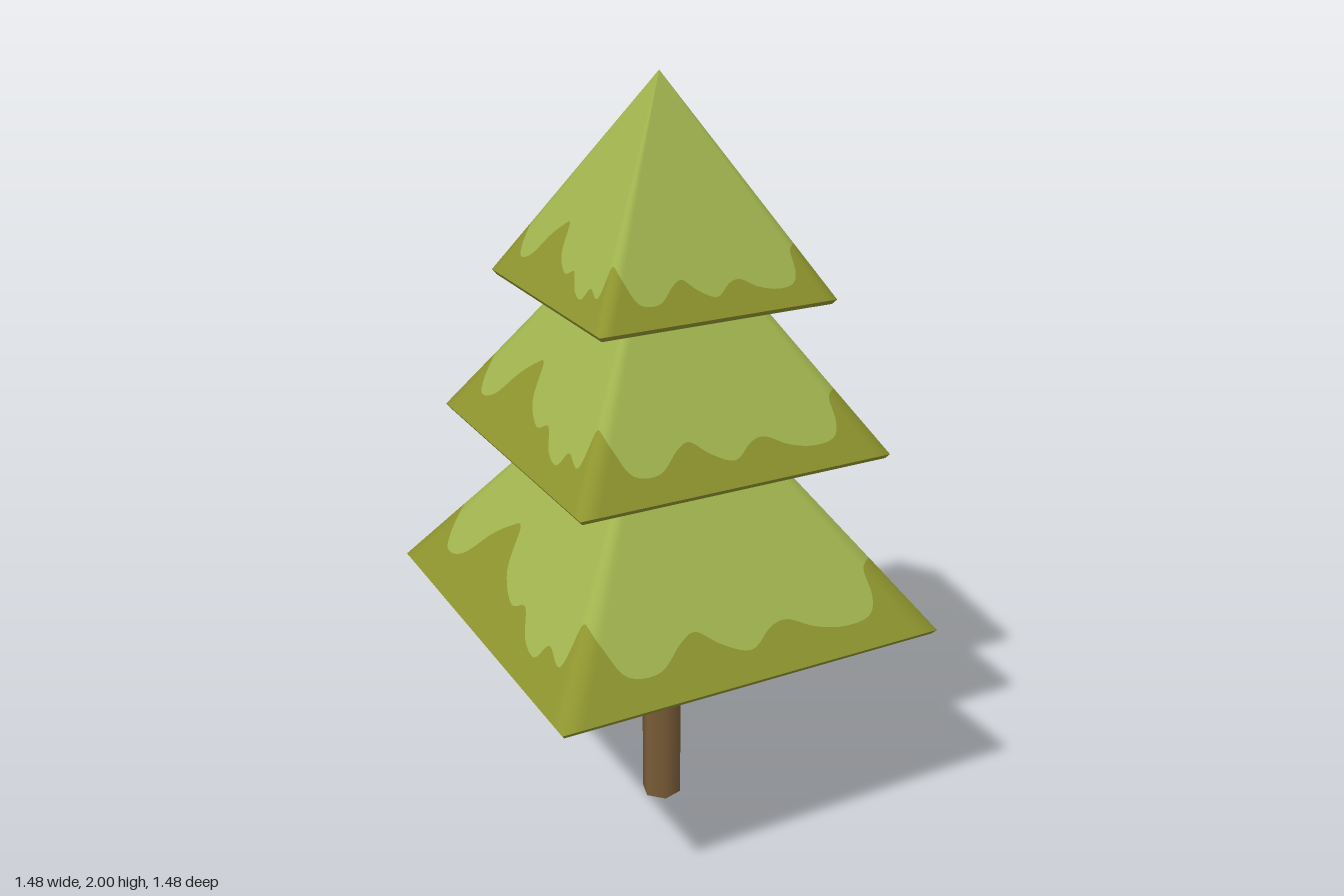
import * as THREE from 'three';

const mat = (name, color) => {
  const m = new THREE.MeshStandardMaterial({ color });
  m.name = name;
  return m;
};

// Wavy paint edge on each side of a tier: [across the face, up the face]
const EDGES = [
  [[0, .25], [.07, .18], [.15, .1], [.24, .09], [.3, .15], [.35, .17], [.42, .12], [.5, .085], [.57, .13],
    [.63, .14], [.7, .1], [.78, .08], [.86, .09], [.91, .14], [.95, .22], [1, .25]],
  [[0, .25], [.05, .15], [.1, .19], [.15, .1], [.25, .08], [.3, .13], [.36, .08], [.43, .14], [.5, .07],
    [.58, .09], [.65, .13], [.71, .09], [.8, .08], [.86, .12], [.92, .2], [1, .25]],
  [[0, .25], [.07, .2], [.15, .08], [.3, .07], [.38, .08], [.44, .19], [.48, .1], [.53, .1], [.58, .18],
    [.64, .1], [.7, .08], [.76, .16], [.83, .17], [.9, .1], [.95, .2], [1, .25]],
  [[0, .25], [.08, .15], [.14, .11], [.21, .14], [.26, .24], [.32, .3], [.38, .32], [.46, .2], [.57, .14],
    [.64, .165], [.71, .1], [.78, .085], [.83, .14], [.91, .12], [.96, .24], [1, .25]],
];

// One sloping side between two heights given per column, with softened ridges
function sideGeometry(k, radius, y0, height, columns, low, high) {
  const corner = (i) => new THREE.Vector3(Math.sin(i * Math.PI / 2), 0, Math.cos(i * Math.PI / 2)).multiplyScalar(radius);
  const a = corner(k), b = corner(k + 1);
  const faceNormal = (i) => {
    const n = corner(i).add(corner(i + 1)).normalize();
    n.y = radius * Math.SQRT1_2 / height;
    return n.normalize();
  };
  const own = faceNormal(k);
  const ridges = [faceNormal(k - 1).add(own).normalize(), faceNormal(k + 1).add(own).normalize()];
  const pos = [], nor = [], idx = [];
  columns.forEach((c, i) => {
    const blend = Math.max(0, 1 - Math.min(c.x, 1 - c.x) / 0.05);
    const n = own.clone().lerp(ridges[c.x < 0.5 ? 0 : 1], blend).normalize();
    for (const f of [low(c), high(c)]) {
      const p = a.clone().lerp(b, c.x).multiplyScalar(1 - f);
      pos.push(p.x, y0 + f * height, p.z);
      nor.push(n.x, n.y, n.z);
    }
    if (i > 0) {
      const q = (i - 1) * 2;
      idx.push(q, q + 2, q + 3, q, q + 3, q + 1);
    }
  });
  const g = new THREE.BufferGeometry();
  g.setAttribute('position', new THREE.Float32BufferAttribute(pos, 3));
  g.setAttribute('normal', new THREE.Float32BufferAttribute(nor, 3));
  g.setIndex(idx);
  return g;
}

export function createModel() {
  const leaf = mat('light leaf green', 0xa0b34e);
  const olive = mat('olive green', 0x8e942e);
  const bark = mat('bark brown', 0x7a5c38);
  const model = new THREE.Group();
  model.name = 'tree';
  const add = (parent, name, geometry, material) => {
    const mesh = new THREE.Mesh(geometry, material);
    mesh.name = name;
    parent.add(mesh);
    return mesh;
  };

  // Six-sided trunk
  add(model, 'trunk', new THREE.CylinderGeometry(0.055, 0.055, 0.66, 6).rotateY(Math.PI / 6), bark)
    .position.set(0.007, 0.33, 0);

  // Three four-sided tiers: radius, base height, apex height
  const tiers = [['lowerTier', 0.742, 0.62, 1.35], ['middleTier', 0.594, 1.088, 1.73], ['upperTier', 0.445, 1.47, 2]];
  const rim = 0.012;
  for (const [name, radius, base, apex] of tiers) {
    const tier = new THREE.Group();
    tier.name = name;
    model.add(tier);

    // Sloping sides with an olive border under the light green
    EDGES.forEach((edge, k) => {
      const columns = new THREE.SplineCurve(edge.map(([x, y]) => new THREE.Vector2(x, y))).getPoints(75);
      const side = (low, high) => sideGeometry(k, radius, base + rim, apex - base - rim, columns, low, high);
      add(tier, 'border', side(() => 0, (c) => c.y), olive);
      add(tier, 'foliage', side((c) => c.y, () => 1), leaf);
    });

    // Thin undercut rim and flat underside
    const slab = new THREE.CylinderGeometry(radius, radius - rim, rim, 4).toNonIndexed();
    slab.computeVertexNormals();
    add(tier, 'rimAndUnderside', slab, [olive, olive, leaf]).position.y = base + rim / 2;
  }
  return model;
}
